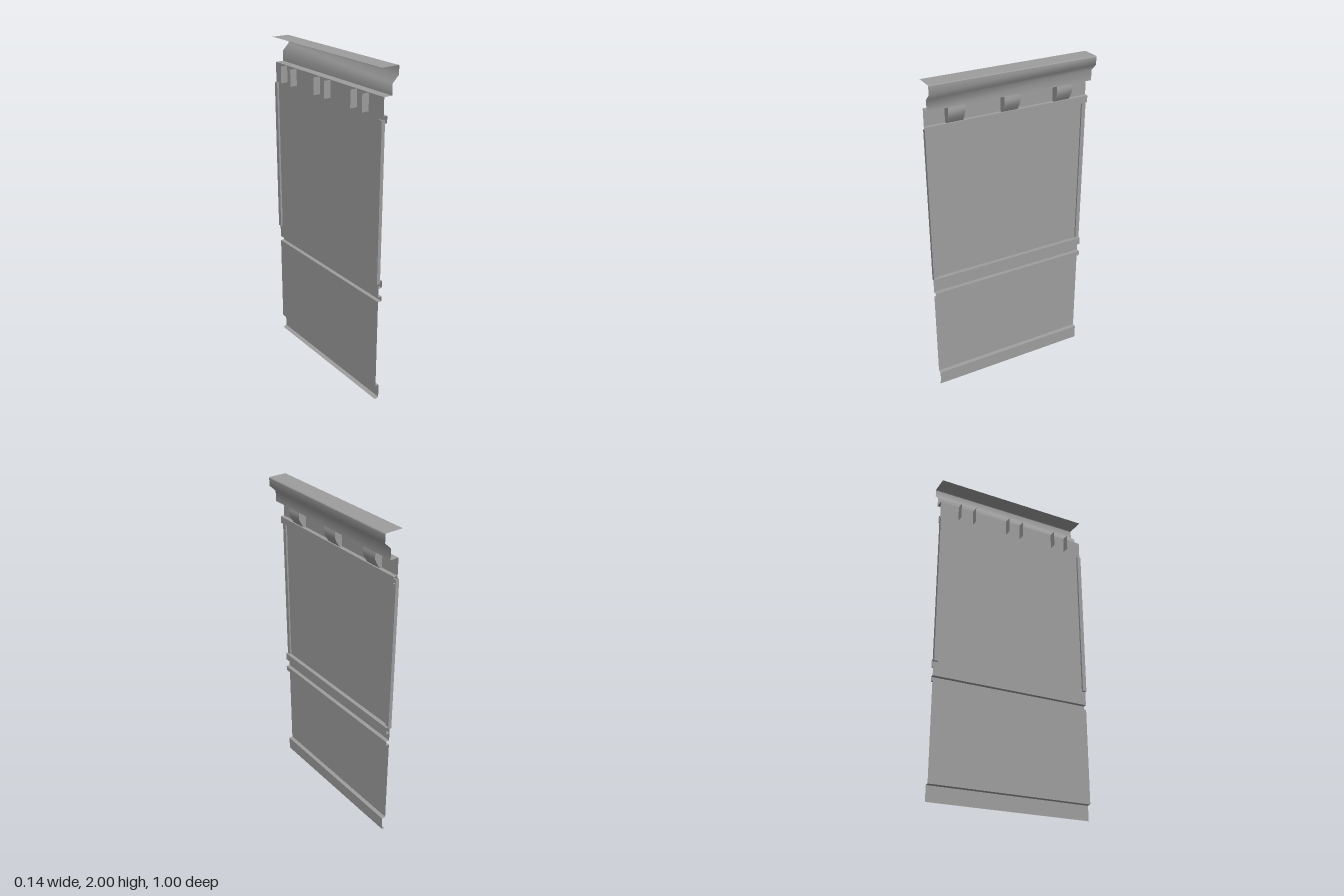
import * as THREE from 'three';

const material = new THREE.MeshStandardMaterial({ color: 0x9d9d9d, side: THREE.DoubleSide });
const WALL = -0.025; // plane of the wall sheet
const RAIL = -0.001; // front of the mouldings

// Open sheet: an [x, y] profile listed from top to bottom, swept from z0 to z1
function sheet(profile, z0, z1, smooth = false) {
  const positions = [], index = [];
  const add = ([x, y]) => positions.push(x, y, z1, x, y, z0);
  if (smooth) profile.forEach(add);
  else for (let i = 0; i < profile.length - 1; i++) { add(profile[i]); add(profile[i + 1]); }
  const rows = positions.length / 6;
  for (let r = 0; r < rows - 1; r += smooth ? 1 : 2) {
    const a = r * 2;
    index.push(a, a + 2, a + 1, a + 1, a + 2, a + 3);
  }
  const geometry = new THREE.BufferGeometry();
  geometry.setAttribute('position', new THREE.Float32BufferAttribute(positions, 3));
  geometry.setIndex(index);
  geometry.computeVertexNormals();
  return geometry;
}

export function createModel() {
  const group = new THREE.Group();
  const add = (name, geometry, parent = group) => {
    const mesh = new THREE.Mesh(geometry, material);
    mesh.name = name;
    parent.add(mesh);
    return mesh;
  };
  // Projecting band with a flat top and underside
  const band = (top, bottom) => [[WALL, top], [RAIL, top], [RAIL, bottom], [WALL, bottom]];

  // Full-width flat-faced parts, top to bottom
  const parts = {
    corniceTop: [[-0.043, 2], [0.064, 2], [0.067, 1.996]],
    corniceSoffit: [[0.027, 1.85], [WALL, 1.85]],
    upperWall: [[WALL, 1.85], [WALL, 0.7]],
    friezeRail: band(1.75, 1.71),
    chairRail: band(0.8, 0.755),
    lowerRail: band(0.7, 0.67),
    lowerPanel: [[WALL, 0.67], [WALL, 0.097]],
    baseboard: [[WALL, 0.097], [RAIL, 0.095], [RAIL, 0.008], [WALL, 0]],
  };
  for (const [name, profile] of Object.entries(parts)) add(name, sheet(profile, -0.5, 0.5));

  // Softly shaded front of the cornice
  add('corniceFront', sheet(
    [[0.067, 1.996], [0.067, 1.95], [0.027, 1.912], [0.027, 1.85]], -0.5, 0.5, true));

  // Stiles at both ends of the upper panel
  for (const side of [-1, 1]) {
    const stile = add(side > 0 ? 'leftStile' : 'rightStile', new THREE.BoxGeometry(0.022, 0.945, 0.025));
    stile.position.set(-0.026, 1.2575, side * 0.4875);
  }

  // Brackets: a curved front between two cheeks that run through the wall
  const front = [[0.018, 1.85], [0.022, 1.83], [0.022, 1.808], [0.012, 1.785], [0.001, 1.766], [-0.01, 1.75]];
  const cheek = new THREE.ShapeGeometry(new THREE.Shape(
    [[-0.069, 1.85], [-0.069, 1.75], ...front.slice().reverse()].map(([x, y]) => new THREE.Vector2(x, y))));
  const frontSheet = sheet(front, -0.049, 0.049, true);
  for (const z of [-0.33, 0, 0.33]) {
    const bracket = new THREE.Group();
    bracket.name = 'bracket';
    bracket.position.z = z;
    add('bracketFront', frontSheet, bracket);
    for (const side of [-1, 1]) {
      const mesh = add('bracketCheek', cheek, bracket);
      mesh.position.z = side * 0.049;
    }
    group.add(bracket);
  }
  return group;
}
